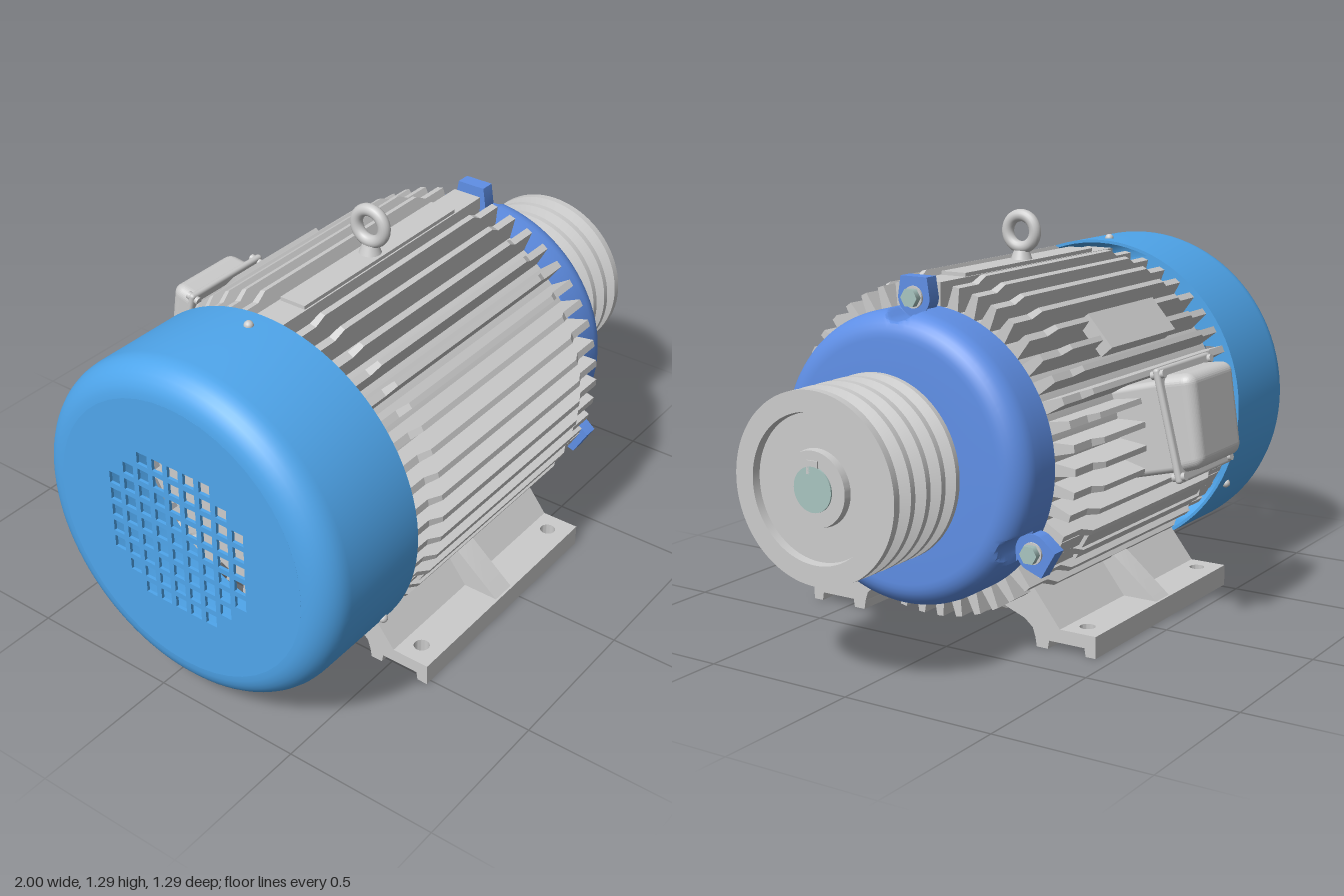
import * as THREE from 'three';
import { toCreasedNormals } from 'three/addons/utils/BufferGeometryUtils.js';
import { RoundedBoxGeometry } from 'three/addons/geometries/RoundedBoxGeometry.js';

const mat = (color) => new THREE.MeshStandardMaterial({ color });
const grey = mat(0xcccccc), coverBlue = mat(0x4fa6ec), bellBlue = mat(0x5f8fe6), steel = mat(0xa8c4c0);

function add(parent, name, geo, material = grey, x = 0, y = 0, z = 0) {
  const m = new THREE.Mesh(geo, material);
  m.name = name;
  m.position.set(x, y, z);
  parent.add(m);
  return m;
}

function group(parent, name) {
  const g = new THREE.Group();
  g.name = name;
  parent.add(g);
  return g;
}

// Turned part about the x axis; points are [radius, x] with x rising on the outside
function turned(points, segs = 96, rule) {
  const g = new THREE.LatheGeometry(points.map(([r, x]) => new THREE.Vector2(r, x)), segs);
  g.rotateZ(-Math.PI / 2);
  if (rule) rule(g.attributes.position);
  return toCreasedNormals(g, 0.5);
}

const poly = (pts) => new THREE.Shape(pts.map(([a, b]) => new THREE.Vector2(a, b)));

// Outline given in (z, y), extruded along x from x0 to x1
function alongX(shape, x0, x1) {
  const g = new THREE.ExtrudeGeometry(shape, { depth: x1 - x0, bevelEnabled: false, curveSegments: 24 });
  return toCreasedNormals(g.rotateY(Math.PI / 2).translate(x0, 0, 0), 0.5);
}
const profileX = (pts, x0, x1) => alongX(poly(pts.map(([z, y]) => [-z, y])), x0, x1);

const rod = (r, x0, x1, segs = 32) =>
  new THREE.CylinderGeometry(r, r, x1 - x0, segs).rotateZ(-Math.PI / 2).translate((x0 + x1) / 2, 0, 0);

const arc = (cr, cx, rad, a0, a1, n = 8) => Array.from({ length: n + 1 }, (_, i) => {
  const a = a0 + (a1 - a0) * i / n;
  return [cr + rad * Math.cos(a), cx + rad * Math.sin(a)];
});

const THIRDS = [0, 2 * Math.PI / 3, -2 * Math.PI / 3];

function buildBody(motor) {
  add(motor, 'statorCore', rod(0.45, -0.62, 0.45, 96));

  // Radial cooling fins, taller over the middle and thinner toward the tip
  const fin = new THREE.ExtrudeGeometry(poly([
    [-0.6, 0.42], [0.44, 0.42], [0.44, 0.525], [0.34, 0.525], [0.3, 0.546],
    [-0.46, 0.546], [-0.5, 0.525], [-0.6, 0.525]]), { depth: 1, bevelEnabled: false });
  fin.translate(0, 0, -0.5);
  const p = fin.attributes.position;
  for (let i = 0; i < p.count; i++) {
    p.setZ(i, p.getZ(i) * THREE.MathUtils.mapLinear(p.getY(i), 0.42, 0.546, 0.048, 0.018));
  }
  fin.computeVertexNormals();
  const fins = group(motor, 'coolingFins');
  const count = 46;
  for (let i = 0; i < count; i++) {
    const a = (i + 0.5) * 2 * Math.PI / count;
    if (Math.cos(a) > 0.99) continue;
    add(fins, 'fin', fin).rotation.x = a;
  }

  // Solid strips that carry the end bell bolts
  for (const a of THIRDS) {
    const g = group(motor, 'boltStrip');
    add(g, 'strip', new THREE.BoxGeometry(1.03, 0.12, 0.1), grey, -0.075, 0.465, 0);
    add(g, 'raisedStrip', new THREE.BoxGeometry(0.76, 0.02, 0.09), grey, -0.08, 0.527, 0);
    g.rotation.x = a;
  }

  // Plain rating plate above the terminal box
  const plate = group(motor, 'ratingPlate');
  add(plate, 'plate', new THREE.BoxGeometry(0.41, 0.05, 0.13), grey, -0.085, 0.53, 0);
  plate.rotation.x = -0.85;

  // Lifting eye
  const eye = group(motor, 'liftingEye');
  eye.position.set(-0.085, 0, 0);
  add(eye, 'ring', new THREE.TorusGeometry(0.052, 0.02, 16, 48).rotateY(Math.PI / 2), grey, 0, 0.627, 0);
  add(eye, 'collar', new THREE.CylinderGeometry(0.025, 0.036, 0.03, 32), grey, 0, 0.55, 0);
}

function buildFanCover(motor) {
  const cover = group(motor, 'fanCover');
  add(cover, 'shell', turned([
    ...arc(0.45, -0.9, 0.1, -Math.PI / 2, 0), [0.55, -0.59], [0.54, -0.59],
    ...arc(0.45, -0.9, 0.09, 0, -Math.PI / 2)]), coverBlue);

  // Rear disc with a round field of square vents
  const disc = new THREE.Shape().absarc(0, 0, 0.452, 0, 2 * Math.PI);
  const pitch = 0.058, h = 0.02;
  for (let i = -5; i <= 5; i++) for (let j = -5; j <= 5; j++) {
    const u = i * pitch, v = j * pitch;
    if (Math.hypot(u, v) > 0.275) continue;
    disc.holes.push(poly([[u - h, v - h], [u - h, v + h], [u + h, v + h], [u + h, v - h]]));
  }
  add(cover, 'ventDisc', alongX(disc, -1, -0.99), coverBlue);
  for (const a of THIRDS) {
    add(cover, 'coverScrew', new THREE.SphereGeometry(0.015, 16, 10), grey,
      -0.655, 0.55 * Math.cos(a), 0.55 * Math.sin(a));
  }
}

function buildEndBell(motor) {
  // Round pockets are pulled into the rim around each bolt
  const pockets = (p) => {
    for (let i = 0; i < p.count; i++) {
      if (p.getX(i) < 0.505) continue;
      const y = p.getY(i), z = p.getZ(i), r = Math.hypot(y, z), t = Math.atan2(z, y);
      for (const a of THIRDS) {
        const d = Math.atan2(Math.sin(t - a), Math.cos(t - a));
        const q = 0.062 ** 2 - (0.485 * Math.sin(d)) ** 2;
        if (q <= 0 || Math.cos(d) < 0) continue;
        const k = Math.min(r, 0.485 * Math.cos(d) - Math.sqrt(q)) / r;
        p.setY(i, y * k);
        p.setZ(i, z * k);
      }
    }
  };
  add(motor, 'endBell', turned([[0, 0.44], [0.455, 0.44], [0.455, 0.504], [0.455, 0.506],
    ...arc(0.375, 0.545, 0.08, 0, Math.PI / 2), [0.23, 0.625], [0, 0.625]], 240, pockets), bellBlue);
  add(motor, 'bearingCap', turned([[0.23, 0.62], [0.23, 0.648], [0.22, 0.66], [0, 0.66]]), bellBlue);

  // Lugs and hex bolts
  const lug = new THREE.Shape().moveTo(0.048, 0.547).lineTo(-0.048, 0.547).lineTo(-0.058, 0.485);
  lug.absarc(0, 0.485, 0.058, Math.PI, 2 * Math.PI);
  for (const a of THIRDS) {
    const g = group(motor, 'boltLug');
    add(g, 'lug', alongX(lug, 0.46, 0.508), bellBlue);
    add(g, 'washer', rod(0.034, 0.5, 0.514), grey, 0, 0.485);
    add(g, 'hexBolt', rod(0.03, 0.51, 0.535, 6), steel, 0, 0.485);
    add(g, 'boltShank', rod(0.018, 0.43, 0.47, 16), steel, 0, 0.485);
    g.rotation.x = a;
  }
}

function buildPulley(motor) {
  const pts = [[0, 0.685], [0.285, 0.685]];
  for (let i = 0; i < 4; i++) {
    const g = 0.703 + i * 0.0725;
    pts.push([0.285, g], [0.238, g + 0.018], [0.238, g + 0.034], [0.285, g + 0.052]);
  }
  pts.push([0.285, 0.997], [0.222, 0.997], [0.218, 0.972], [0.115, 0.972], [0.112, 0.995], [0, 0.995]);
  add(motor, 'pulley', turned(pts));
  add(motor, 'shaftCollar', rod(0.095, 0.65, 0.69, 48));
  add(motor, 'shaft', rod(0.067, 0.6, 1, 48), steel);
  add(motor, 'shaftKey', new THREE.BoxGeometry(0.3, 0.04, 0.04), grey, 0.85, 0.064, 0);
}

function buildTerminalBox(motor) {
  const box = group(motor, 'terminalBox');
  box.position.set(-0.085, 0.085, -0.635);
  box.rotation.x = 0.25;
  add(box, 'neck', new RoundedBoxGeometry(0.27, 0.29, 0.3, 3, 0.02), grey, 0, -0.005, 0.15);
  add(box, 'flange', new RoundedBoxGeometry(0.35, 0.36, 0.022, 2, 0.01));

  // Lid tapers outward and is shallower at the lower edge
  const lid = new RoundedBoxGeometry(0.31, 0.31, 0.12, 5, 0.035);
  const p = lid.attributes.position;
  for (let i = 0; i < p.count; i++) {
    const t = 0.5 - p.getZ(i) / 0.12;
    p.setZ(i, p.getZ(i) - t * (p.getY(i) * 0.1 - 0.005));
    p.setX(i, p.getX(i) * (1 - 0.06 * t));
    p.setY(i, p.getY(i) * (1 - 0.06 * t));
  }
  lid.computeVertexNormals();
  add(box, 'lid', lid, grey, 0, 0, -0.035);
  for (const sx of [-1, 1]) for (const sy of [-1, 1]) {
    add(box, 'lidScrew', new THREE.CylinderGeometry(0.013, 0.013, 0.045, 16).rotateX(Math.PI / 2),
      grey, sx * 0.157, sy * 0.16, 0);
  }
}

// One foot, outline in (z, y) relative to the motor axis plane
function buildFoot(side) {
  const foot = new THREE.Group();
  foot.name = side > 0 ? 'frontFoot' : 'backFoot';
  const f = (pts) => pts.map(([z, y]) => [z * side, y]);
  const x0 = -0.52, x1 = 0.35;

  // Pad with bolt holes
  const pad = poly(f([[0.545, 0], [0.33, 0]]).flatMap(([z], i) => i ? [[x1, -z], [x0, -z]] : [[x0, -z], [x1, -z]]));
  for (const hx of [-0.45, 0.28]) {
    pad.holes.push(new THREE.Path().absarc(hx, -0.475 * side, 0.025, 0, 2 * Math.PI));
  }
  const padGeo = new THREE.ExtrudeGeometry(pad, { depth: 0.043, bevelEnabled: false, curveSegments: 20 });
  add(foot, 'pad', toCreasedNormals(padGeo.rotateX(-Math.PI / 2), 0.5), grey, 0, 0.027, 0);
  add(foot, 'outerSkid', profileX(f([[0.545, 0], [0.545, 0.03], [0.505, 0.03], [0.51, 0]]), x0, x1));
  add(foot, 'innerSkid', profileX(f([[0.375, 0], [0.38, 0.03], [0.33, 0.03], [0.335, 0]]), x0, x1));
  add(foot, 'web', profileX(f([[0.42, 0.068], [0.3, 0.22], [0.2, 0.24], [0.2, 0.12],
    [0.25, 0.1], [0.29, 0.085], [0.32, 0.06], [0.33, 0.03], [0.42, 0.03]]), x0, x1));
  add(foot, 'rib', profileX(f([[0.54, 0.068], [0.36, 0.215], [0.26, 0.26], [0.26, 0.068]]), -0.13, -0.045));
  return foot;
}

export function createModel() {
  const model = new THREE.Group();
  model.name = 'electricMotor';
  const motor = group(model, 'motor');
  motor.position.set(0, 0.595, 0.1);
  buildBody(motor);
  buildFanCover(motor);
  buildEndBell(motor);
  buildPulley(motor);
  buildTerminalBox(motor);
  for (const side of [1, -1]) {
    const foot = buildFoot(side);
    foot.position.z = 0.1;
    model.add(foot);
  }
  return model;
}
